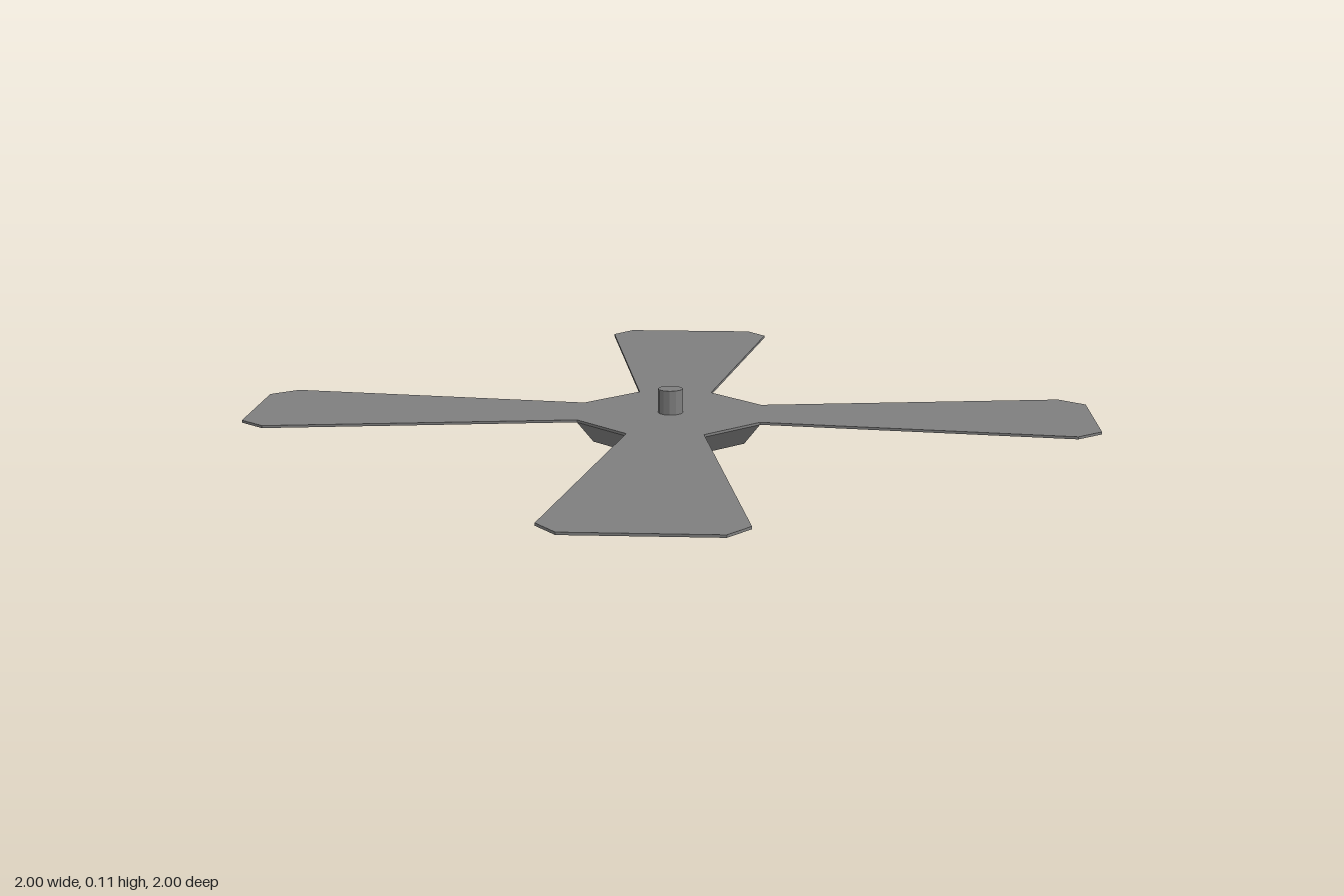
import * as THREE from 'three';

const material = new THREE.MeshStandardMaterial({ color: 0x7f7f7f, flatShading: true });
const PLATE_BOTTOM = 0.05, PLATE_TOP = 0.056;

function addMesh(group, name, geometry) {
  const mesh = new THREE.Mesh(geometry, material);
  mesh.name = name;
  group.add(mesh);
  return mesh;
}

// Outline of the four flared blades joined by an octagonal centre
function bladeOutline() {
  const side = [[0.215, 0.089], [0.94, 0.187], [1, 0.137]];
  const end = [[0.089, 0.215], [0.212, 0.94], [0.165, 1]];
  const mirror = (list, sx, sy) => list.map(([x, y]) => [x * sx, y * sy]);
  const points = [];
  for (const s of [1, -1]) {
    points.push(...mirror(side, s, -s), ...mirror(side, s, s).reverse());
    points.push(...mirror(end, s, s), ...mirror(end, -s, s).reverse());
  }
  return new THREE.Shape(points.map(([x, y]) => new THREE.Vector2(x, y)));
}

export function createModel() {
  const model = new THREE.Group();
  model.name = 'fourBladeRotor';

  // Thin flat blades, cut as one sheet
  const blades = new THREE.ExtrudeGeometry(bladeOutline(), {
    depth: PLATE_TOP - PLATE_BOTTOM, bevelEnabled: false,
  });
  blades.rotateX(Math.PI / 2).translate(0, PLATE_TOP, 0);
  addMesh(model, 'blades', blades);

  // Octagonal hub below: recessed floor, narrow rim, flared outer wall
  const toCorner = 1 / Math.cos(Math.PI / 8);
  const profile = [[0, 0.02], [0.153, 0.02], [0.157, 0], [0.178, 0], [0.215, PLATE_BOTTOM]]
    .map(([r, y]) => new THREE.Vector2(r * toCorner, y));
  addMesh(model, 'hub', new THREE.LatheGeometry(profile, 8, Math.PI / 8));

  // Short faceted shaft on top
  const shaft = new THREE.CylinderGeometry(0.03, 0.03, 0.06, 12);
  addMesh(model, 'shaft', shaft).position.y = 0.084;

  return model;
}
